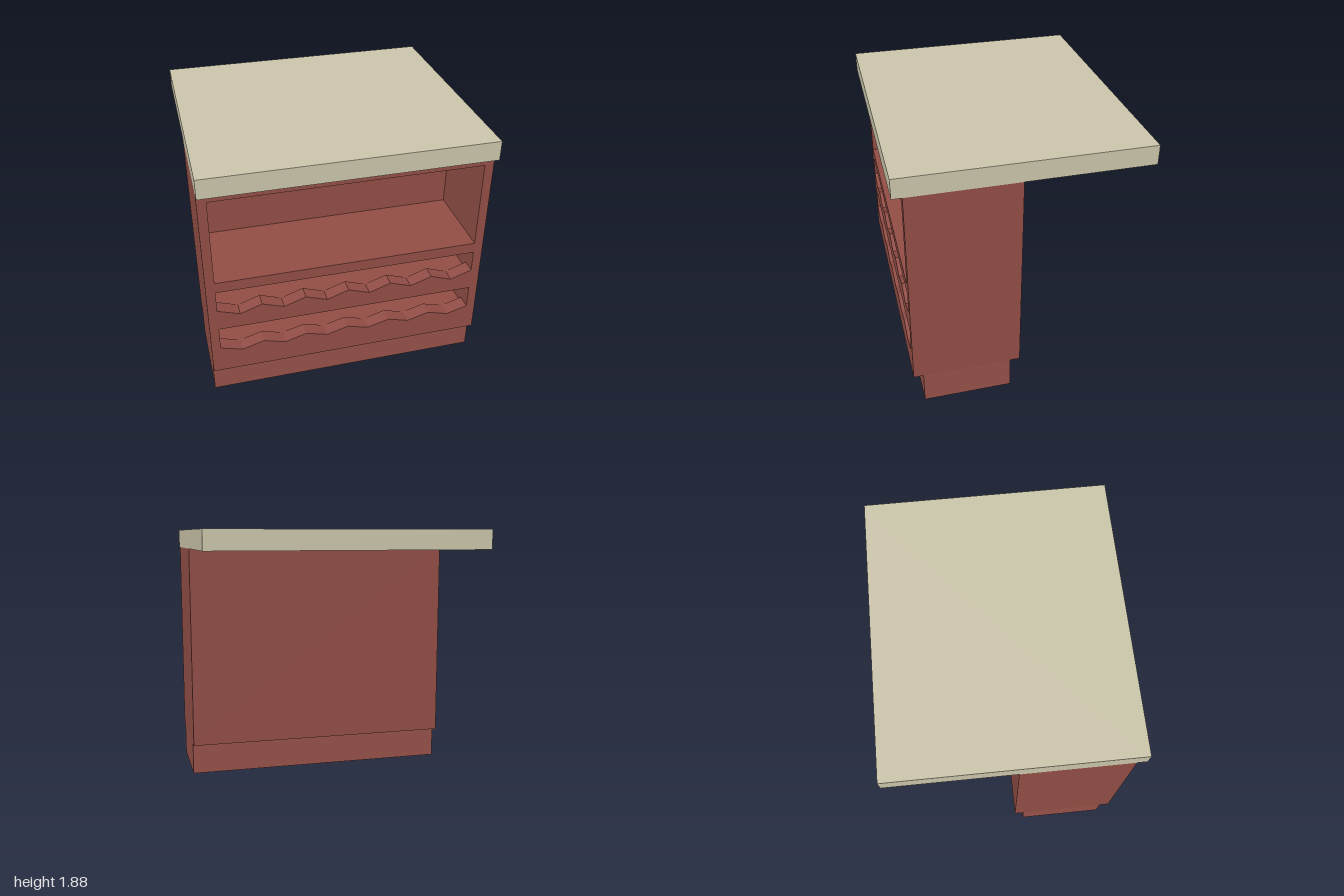
import * as THREE from 'three';

const cabinetRed = new THREE.MeshStandardMaterial({ name: 'cabinetRed', color: 0x914d45 });
const plinthRed = new THREE.MeshStandardMaterial({ name: 'plinthRed', color: 0x965148 });
const stone = new THREE.MeshStandardMaterial({ name: 'stone', color: 0xc9c4a9 });

const HALF = 0.935; // half width of the openings
const TEETH = 6; // bottle notches per rack
const BOTTOM = 0.24, TOP = 1.74;

// Openings: floor, top, and the height of the notched lip above the floor
const openings = [
  { floor: 1.03, top: 1.67, lip: 0 },
  { floor: 0.735, top: 0.95, lip: 0.055 },
  { floor: 0.405, top: 0.625, lip: 0.045 },
];

function openingPath({ floor, top, lip }, notched) {
  const points = [[HALF, top], [-HALF, top]];
  const steps = notched && lip ? TEETH * 2 : 1;
  for (let i = 0; i <= steps; i++) {
    const y = steps > 1 && i % 2 === 0 ? floor + lip : floor;
    points.push([-HALF + (2 * HALF * i) / steps, y]);
  }
  return new THREE.Path(points.map(([x, y]) => new THREE.Vector2(x, y)));
}

// Full-width panel pierced by the openings, from z0 to z1
function frame(name, z0, z1, notched) {
  const shape = new THREE.Shape([
    new THREE.Vector2(-1, BOTTOM), new THREE.Vector2(1, BOTTOM),
    new THREE.Vector2(1, TOP), new THREE.Vector2(-1, TOP),
  ]);
  shape.holes = openings.map((o) => openingPath(o, notched));
  const geometry = new THREE.ExtrudeGeometry(shape, { depth: z1 - z0, bevelEnabled: false });
  geometry.translate(0, 0, z0);
  const mesh = new THREE.Mesh(geometry, cabinetRed);
  mesh.name = name;
  return mesh;
}

function box(name, material, y0, y1, z0, z1) {
  const mesh = new THREE.Mesh(new THREE.BoxGeometry(2, y1 - y0, z1 - z0), material);
  mesh.position.set(0, (y0 + y1) / 2, (z0 + z1) / 2);
  mesh.name = name;
  return mesh;
}

export function createModel() {
  const model = new THREE.Group();
  model.name = 'kitchenIsland';

  // Front with notched bottle rests, leaning back slightly towards the top
  const front = frame('frontFrame', 0.7, 0.805, true);
  const p = front.geometry.attributes.position;
  for (let i = 0; i < p.count; i++) {
    if (p.getZ(i) > 0.75) {
      p.setZ(i, 0.805 - 0.013 * (p.getY(i) - BOTTOM) / (TOP - BOTTOM));
    }
  }
  front.geometry.computeVertexNormals();

  model.add(
    front,
    frame('shelfCase', 0.2, 0.7, false),
    box('backPanel', cabinetRed, BOTTOM, TOP, 0.03, 0.2),
    box('plinth', plinthRed, 0, BOTTOM, 0.1, 0.735),
    box('countertop', stone, TOP, 1.88, -0.86, 0.86),
  );
  return model;
}
